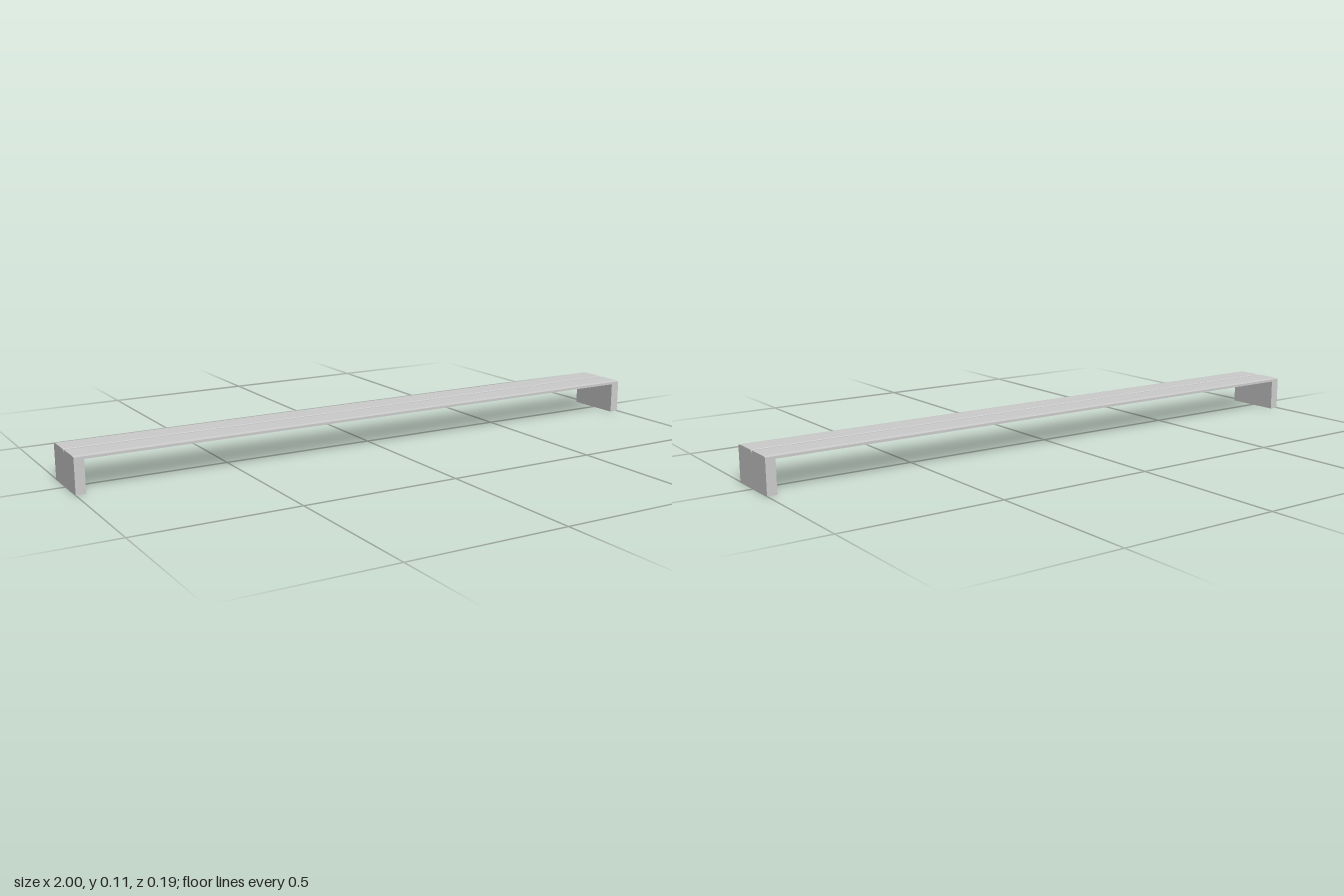
import * as THREE from 'three';

export function createModel() {
  const bench = new THREE.Group();
  bench.name = 'bench';
  const material = new THREE.MeshStandardMaterial({ color: 0xcccccc, flatShading: true });
  const halfDepth = 0.093, legWidth = 0.03, legHeight = 0.101;

  // Long seat: crowned cross-section with a narrow groove between two boards
  const half = [[0.004, 0.105], [0.004, 0.1095], [0.007, 0.111], [0.08, 0.111], [halfDepth, 0.109], [halfDepth, legHeight]];
  const mirrored = half.map(([z, y]) => [-z, y]).reverse();
  const profile = new THREE.Shape([...half, ...mirrored].map(([z, y]) => new THREE.Vector2(z, y)));
  const seatGeometry = new THREE.ExtrudeGeometry(profile, { depth: 2, bevelEnabled: false });
  seatGeometry.translate(0, 0, -1).rotateY(Math.PI / 2);
  const seat = new THREE.Mesh(seatGeometry, material);
  seat.name = 'seat';
  bench.add(seat);

  // Solid panel leg at each end
  for (const side of [-1, 1]) {
    const leg = new THREE.Mesh(new THREE.BoxGeometry(legWidth, legHeight, 2 * halfDepth), material);
    leg.position.set(side * (1 - legWidth / 2), legHeight / 2, 0);
    leg.name = side > 0 ? 'leftLeg' : 'rightLeg';
    bench.add(leg);
  }
  return bench;
}
